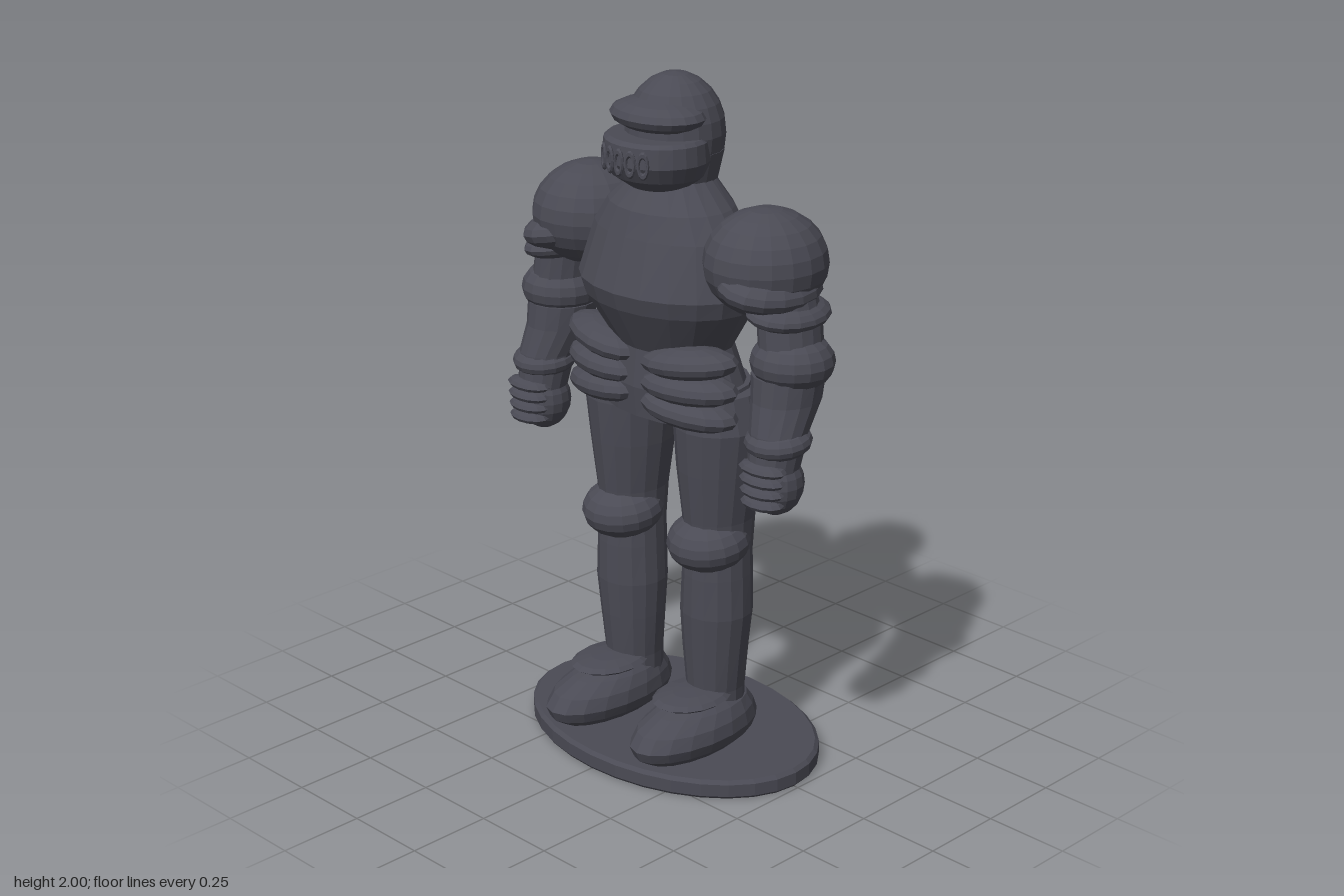
import * as THREE from 'three';

const steel = new THREE.MeshStandardMaterial({ color: 0x4a4a54 });
steel.name = 'dark steel';

// Faceted mesh with a name
function part(parent, name, geometry) {
  const g = geometry.index ? geometry.toNonIndexed() : geometry;
  g.computeVertexNormals();
  const mesh = new THREE.Mesh(g, steel);
  mesh.name = name;
  parent.add(mesh);
  return mesh;
}

// Capped body through elliptical sections [y, rx, rz, cx, cz], listed top to bottom
function loft(parent, name, sections, sides = 16) {
  const n = sections.length - 1;
  const g = new THREE.CylinderGeometry(1, 1, 1, sides, n);
  const p = g.attributes.position;
  for (let i = 0; i < p.count; i++) {
    const [y, rx, rz, cx = 0, cz = 0] = sections[Math.round((0.5 - p.getY(i)) * n)];
    p.setXYZ(i, p.getX(i) * rx + cx, y, p.getZ(i) * rz + cz);
  }
  return part(parent, name, g);
}

// Ellipsoid given by its centre, radii and rotation
function ball(parent, name, centre, radii, rotation = [0, 0, 0], ws = 16, hs = 10) {
  const mesh = part(parent, name, new THREE.SphereGeometry(1, ws, hs).scale(...radii));
  mesh.position.set(...centre);
  mesh.rotation.set(...rotation);
  return mesh;
}

function group(parent, name) {
  const g = new THREE.Group();
  g.name = name;
  parent.add(g);
  return g;
}

function buildHead(root) {
  const head = group(root, 'head');
  ball(head, 'helmet', [0, 1.835, -0.005], [0.142, 0.165, 0.14], [0, 0, 0], 20, 12);
  loft(head, 'neck', [[1.79, 0.138, 0.136, 0, -0.005], [1.69, 0.115, 0.115, 0, -0.005], [1.62, 0.14, 0.13]], 20);
  ball(head, 'brow', [0, 1.893, 0.06], [0.15, 0.047, 0.115], [0, 0, 0], 20, 8);
  // Jaw guard with a flat upper edge under the eye slit
  loft(head, 'jawGuard', [
    [1.84, 0.142, 0.125, 0, 0.065], [1.83, 0.152, 0.14, 0, 0.065],
    [1.775, 0.156, 0.145, 0, 0.065], [1.73, 0.135, 0.125, 0, 0.06], [1.695, 0.09, 0.085, 0, 0.05],
  ], 24);
  // Row of oval breathing slots
  for (let i = -2; i <= 2; i++) {
    const a = i * 0.25;
    const rim = part(head, 'breathingSlot', new THREE.TorusGeometry(0.018, 0.006, 6, 14).scale(0.75, 1.65, 1));
    rim.position.set(0.156 * Math.sin(a), 1.785, 0.065 + 0.144 * Math.cos(a));
    rim.rotation.y = a;
  }
}

function buildTorso(root) {
  loft(root, 'torso', [
    [1.73, 0.1, 0.1, 0, 0], [1.64, 0.195, 0.155, 0, 0.01], [1.57, 0.245, 0.178, 0, 0.01],
    [1.42, 0.288, 0.218, 0, 0.017], [1.37, 0.275, 0.205, 0, 0.015], [1.24, 0.19, 0.148, 0, 0],
    [1.13, 0.235, 0.165, 0, -0.005],
  ], 20);
  loft(root, 'skirt', [
    [1.14, 0.245, 0.168, 0, -0.01], [1.04, 0.265, 0.16, 0, -0.012],
  ], 20);
}

function buildArm(root, s) {
  const arm = group(root, s > 0 ? 'leftArm' : 'rightArm');
  ball(arm, 'shoulderGuard', [s * 0.34, 1.535, -0.01], [0.168, 0.15, 0.177], [0, 0, 0], 18, 12);
  ball(arm, 'shoulderLowerPlate', [s * 0.385, 1.485, 0.02], [0.125, 0.06, 0.165], [0, 0, -s * 0.2]);
  loft(arm, 'upperArm', [
    [1.5, 0.09, 0.1, s * 0.4, 0], [1.4, 0.082, 0.095, s * 0.44, 0], [1.32, 0.085, 0.095, s * 0.45, 0.005],
  ]);
  ball(arm, 'armBand', [s * 0.44, 1.42, 0.005], [0.1, 0.04, 0.135], [0, 0, -s * 0.15]);
  ball(arm, 'elbowGuard', [s * 0.457, 1.285, 0.005], [0.117, 0.083, 0.117]);
  loft(arm, 'forearm', [
    [1.25, 0.1, 0.104, s * 0.447, 0.01], [1.18, 0.093, 0.102, s * 0.45, 0.02],
    [1.1, 0.08, 0.085, s * 0.462, 0.06], [1.0, 0.07, 0.075, s * 0.463, 0.08],
  ]);
  ball(arm, 'wristCuff', [s * 0.467, 1.075, 0.068], [0.094, 0.048, 0.094], [0.1, 0, 0]);
  ball(arm, 'hand', [s * 0.465, 0.955, 0.075], [0.08, 0.092, 0.08]);
  for (let i = 0; i < 4; i++) {
    ball(arm, 'finger', [s * 0.468, 1.01 - i * 0.033, 0.13], [0.078 - i * 0.003, 0.02, 0.047], [0, 0, 0], 12, 6);
  }
}

function buildTassets(root, s) {
  const plates = group(root, s > 0 ? 'leftHipPlates' : 'rightHipPlates');
  [1.23, 1.158, 1.09].forEach((y, i) => {
    ball(plates, 'hipPlate', [s * 0.165, y, 0.105], [0.153, 0.047, 0.085],
      [0, s * 0.22, s * (0.12 - i * 0.1)], 14, 8);
  });
}

function buildLeg(root, s) {
  const leg = group(root, s > 0 ? 'leftLeg' : 'rightLeg');
  loft(leg, 'thigh', [
    [1.13, 0.115, 0.13, s * 0.165, -0.01], [1.03, 0.132, 0.14, s * 0.178, -0.01],
    [0.9, 0.118, 0.128, s * 0.175, -0.008], [0.75, 0.098, 0.11, s * 0.174, -0.006],
    [0.65, 0.095, 0.1, s * 0.174, -0.006],
  ]);
  ball(leg, 'kneeGuard', [s * 0.174, 0.68, 0.035], [0.121, 0.083, 0.12], [0.12, 0, 0]);
  loft(leg, 'shin', [
    [0.68, 0.094, 0.1, s * 0.174, -0.005], [0.58, 0.1, 0.103, s * 0.174, -0.002],
    [0.46, 0.106, 0.103, s * 0.173, 0], [0.35, 0.096, 0.095, s * 0.17, 0],
    [0.22, 0.083, 0.087, s * 0.168, -0.003], [0.12, 0.083, 0.087, s * 0.168, -0.003],
  ]);
  // Shoe with a flat sole, fuller at the instep
  loft(leg, 'shoe', [
    [0.2, 0.07, 0.11, s * 0.17, 0.055], [0.182, 0.092, 0.165, s * 0.173, 0.06],
    [0.15, 0.112, 0.212, s * 0.175, 0.085], [0.112, 0.119, 0.234, s * 0.176, 0.093],
    [0.08, 0.108, 0.22, s * 0.176, 0.093], [0.052, 0.08, 0.18, s * 0.176, 0.09],
  ], 18);
  ball(leg, 'shoeTongue', [s * 0.17, 0.212, 0.095], [0.1, 0.021, 0.13], [0, 0, 0], 16, 6);
}

export function createModel() {
  const root = new THREE.Group();
  root.name = 'armouredFigure';
  loft(root, 'base', [
    [0.055, 0.48, 0.33], [0.045, 0.492, 0.341], [0.008, 0.492, 0.341], [0, 0.485, 0.335],
  ], 32);
  buildHead(root);
  buildTorso(root);
  for (const s of [-1, 1]) {
    buildArm(root, s);
    buildTassets(root, s);
    buildLeg(root, s);
  }
  return root;
}
